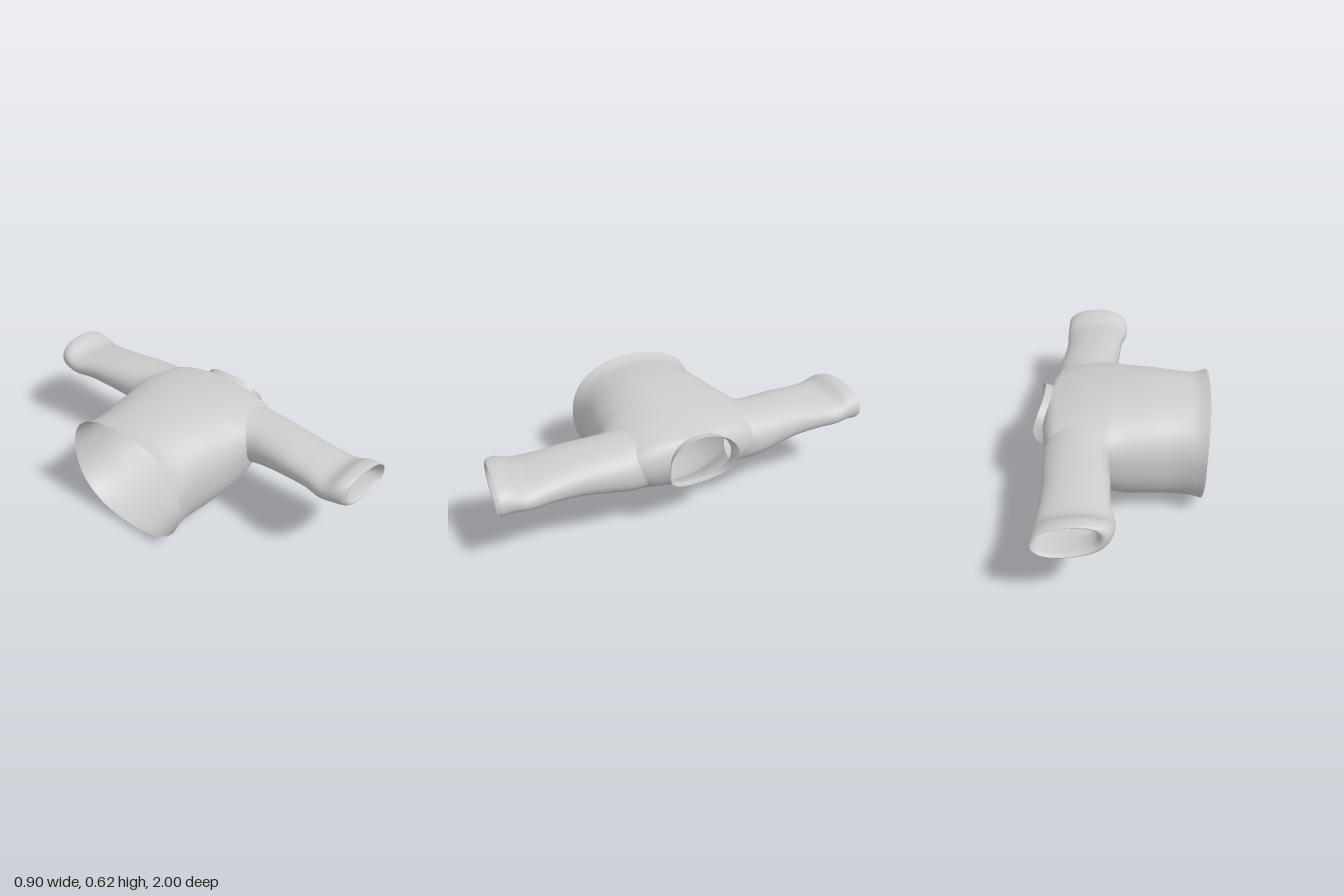
import * as THREE from 'three';

const material = new THREE.MeshStandardMaterial({ color: 0xcccccc, side: THREE.DoubleSide, roughness: 0.9 });

// Superellipse offset in -1..1 for both axes
function unit(angle, e) {
  const c = Math.cos(angle), s = Math.sin(angle);
  return [Math.sign(c) * Math.abs(c) ** (2 / e), Math.sign(s) * Math.abs(s) ** (2 / e)];
}

// Smooth open tube through closed rings; skip(x, y, z) cuts holes
function loft(name, stations, point, { around = 96, along = 60, skip = () => false } = {}) {
  const pos = [], index = [];
  for (let j = 0; j < around; j++) {
    const angle = (j / around) * Math.PI * 2;
    const curve = new THREE.CatmullRomCurve3(stations.map((s) => point(s, angle)), false, 'centripetal');
    for (let i = 0; i <= along; i++) pos.push(...curve.getPoint(i / along).toArray());
  }
  const row = along + 1;
  for (let j = 0; j < around; j++) {
    for (let i = 0; i < along; i++) {
      const a = j * row + i, b = ((j + 1) % around) * row + i;
      const mid = [0, 1, 2].map((k) => (pos[a * 3 + k] + pos[(b + 1) * 3 + k]) / 2);
      if (!skip(...mid)) index.push(a, b, a + 1, b, b + 1, a + 1);
    }
  }
  const geometry = new THREE.BufferGeometry();
  geometry.setAttribute('position', new THREE.Float32BufferAttribute(pos, 3));
  geometry.setIndex(index);
  geometry.computeVertexNormals();
  const mesh = new THREE.Mesh(geometry, material);
  mesh.name = name;
  return mesh;
}

// Body ring: [x bottom, x side, x top, y bottom, y side, y top, half width]
function bodyPoint([xb, xm, xt, yb, ym, yt, w], angle, e = 2.3, bend = 1.6) {
  const [u, v] = unit(angle, e);
  const k = Math.abs(Math.sin(angle)) ** bend;
  return new THREE.Vector3(
    xm + ((v > 0 ? xt : xb) - xm) * k,
    ym + v * (v > 0 ? yt - ym : ym - yb),
    -u * w
  );
}

// Sleeve ring: [z at inner x, z at outer x, z drop at top and bottom, x0, x1, y0, y1]
function sleevePoint([z0, z1, drop, x0, x1, y0, y1], angle, side) {
  const [u, v] = unit(angle, 2.2);
  const z = z0 + (z1 - z0) * (u + 1) / 2 - drop * v * v;
  const tilt = -0.012 * u;
  return new THREE.Vector3(
    (x0 + x1) / 2 + u * (x1 - x0) / 2,
    (y0 + y1) / 2 + v * (y1 - y0) / 2 + tilt,
    z * side
  );
}

export function createModel() {
  const group = new THREE.Group();
  group.name = 'shirt';

  // Torso from open hem to neckline, with armholes cut out
  const neck = [0.338, 0.405, 0.368, 0.268, 0.43, 0.55, 0.168];
  const body = [
    [-0.41, -0.43, -0.45, 0.0, 0.33, 0.62, 0.368],
    [-0.38, -0.38, -0.39, 0.008, 0.33, 0.603, 0.355],
    [-0.3, -0.3, -0.3, 0.015, 0.34, 0.61, 0.346],
    [-0.15, -0.15, -0.15, 0.028, 0.35, 0.622, 0.367],
    [0, 0, 0, 0.038, 0.38, 0.617, 0.39],
    [0.05, 0.05, 0.05, 0.055, 0.4, 0.614, 0.4],
    [0.1, 0.1, 0.1, 0.1, 0.41, 0.608, 0.405],
    [0.2, 0.2, 0.2, 0.19, 0.42, 0.595, 0.4],
    [0.28, 0.28, 0.28, 0.243, 0.425, 0.577, 0.385],
    [0.31, 0.345, 0.33, 0.257, 0.425, 0.562, 0.355],
    [0.325, 0.385, 0.35, 0.263, 0.425, 0.556, 0.28],
    neck,
  ];
  const armhole = (x, y, z) =>
    Math.abs(z) > 0.2 && ((x - 0.205) / 0.15) ** 2 + ((y - 0.415) / 0.105) ** 2 < 1;
  group.add(loft('torso', body, bodyPoint, { around: 128, along: 110, skip: armhole }));

  // Collar band standing out from the neckline
  const collar = [
    neck,
    [0.355, 0.428, 0.388, 0.267, 0.432, 0.553, 0.176],
    [0.374, 0.45, 0.405, 0.268, 0.435, 0.555, 0.19],
  ];
  group.add(loft('collar', collar, (s, a) => bodyPoint(s, a, 2.2, 1.5), { along: 8 }));

  // Sleeves with a flared cuff rolled back inside
  const sleeve = [
    [0.375, 0.28, 0.07, 0.04, 0.375, 0.275, 0.552],
    [0.41, 0.35, 0.02, 0.048, 0.385, 0.285, 0.542],
    [0.48, 0.46, 0, 0.046, 0.377, 0.308, 0.535],
    [0.6, 0.6, 0, 0.036, 0.36, 0.33, 0.525],
    [0.75, 0.75, 0, 0.026, 0.358, 0.342, 0.507],
    [0.86, 0.86, 0, 0.002, 0.366, 0.346, 0.497],
    [0.93, 0.94, 0, 0.006, 0.366, 0.35, 0.53],
    [0.97, 0.99, 0, 0.025, 0.366, 0.348, 0.532],
    [0.98, 1.0, 0, 0.05, 0.362, 0.355, 0.526],
    [0.965, 0.985, 0, 0.068, 0.358, 0.365, 0.516],
    [0.87, 0.88, 0, 0.075, 0.356, 0.366, 0.488],
  ];
  for (const [name, side] of [['leftSleeve', 1], ['rightSleeve', -1]]) {
    group.add(loft(name, sleeve, (s, a) => sleevePoint(s, a, side), { along: 80 }));
  }
  return group;
}
